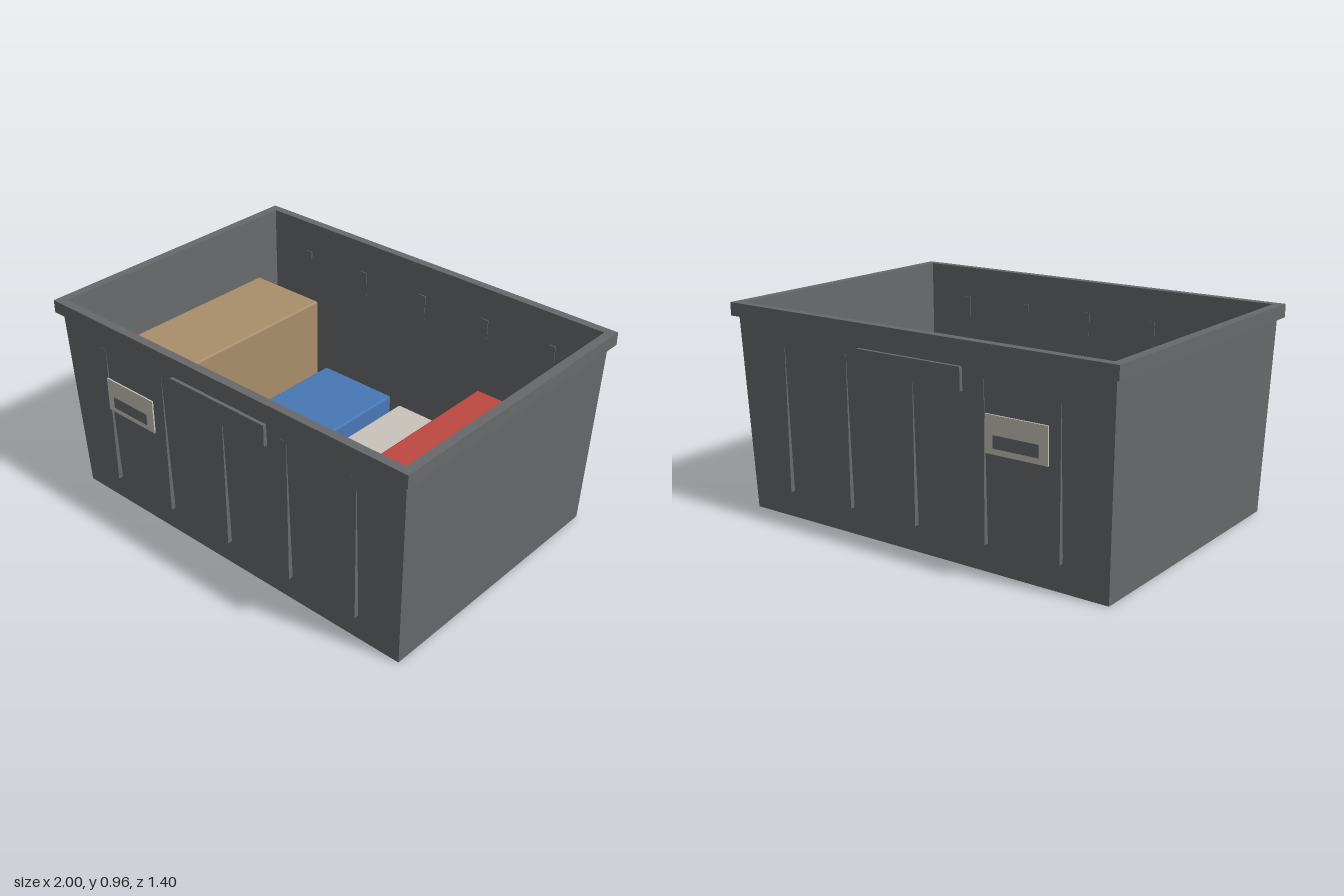
import * as THREE from 'three';
import { RoundedBoxGeometry } from 'three/addons/geometries/RoundedBoxGeometry.js';

const material = (name, color) => {
  const m = new THREE.MeshStandardMaterial({ color });
  m.name = name;
  return m;
};

// Skin a run of rectangular rings, each given as [half width, half depth, height]
function loft(rings) {
  const corners = [[-1, 1], [1, 1], [1, -1], [-1, -1]];
  const point = ([hx, hz, y], i) => [corners[i % 4][0] * hx, y, corners[i % 4][1] * hz];
  const positions = [];
  for (let r = 0; r < rings.length - 1; r++) {
    for (let i = 0; i < 4; i++) {
      const a = point(rings[r], i), b = point(rings[r], i + 1);
      const c = point(rings[r + 1], i + 1), d = point(rings[r + 1], i);
      positions.push(...a, ...b, ...c, ...a, ...c, ...d);
    }
  }
  const geometry = new THREE.BufferGeometry();
  geometry.setAttribute('position', new THREE.Float32BufferAttribute(positions, 3));
  geometry.computeVertexNormals();
  return geometry;
}

export function createModel() {
  const plastic = material('grey plastic', 0x67696c);
  const label = material('off-white', 0xc8c4bb);
  const tan = material('cardboard tan', 0xa98e6b);
  const blue = material('blue', 0x4878b5);
  const red = material('red', 0xbf4842);

  const model = new THREE.Group();
  model.name = 'storageBin';
  const add = (name, geometry, mat, x = 0, y = 0, z = 0) => {
    const mesh = new THREE.Mesh(geometry, mat);
    mesh.name = name;
    mesh.position.set(x, y, z);
    model.add(mesh);
    return mesh;
  };

  // Tapered tub: outer shell, rim and inner shell
  add('outerWall', loft([[0, 0, 0], [0.945, 0.645, 0], [0.975, 0.674, 0.9]]), plastic);
  add('rim', loft([[0.975, 0.674, 0.9], [1, 0.7, 0.9], [1, 0.7, 0.96], [0.957, 0.66, 0.96]]), plastic);
  add('innerWall', loft([[0.957, 0.66, 0.96], [0.925, 0.627, 0.02], [0, 0, 0.02]]), plastic);

  // Ribs, raised panel and label holder on the front and back
  for (const side of [1, -1]) {
    const end = side > 0 ? 'front' : 'back';
    for (let i = -2; i <= 2; i++) {
      add(end + 'Rib', new THREE.BoxGeometry(0.033, 0.685, 0.022), plastic, i * 0.36, 0.4675, side * 0.661);
    }
    add(end + 'Panel', new THREE.BoxGeometry(0.54, 0.1, 0.018), plastic, 0, 0.796, side * 0.679);
    add(end + 'Label', new THREE.BoxGeometry(0.295, 0.16, 0.007), label, -0.543, 0.6, side * 0.687);
    add(end + 'LabelSlot', new THREE.BoxGeometry(0.215, 0.054, 0.005), plastic, -0.543, 0.573, side * 0.692);
  }

  // Boxes stored inside: x range, z range, top height
  const contents = [
    ['tanBox', tan, -0.88, -0.48, -0.452, 0.457, 0.69],
    ['blueBox', blue, -0.443, -0.027, -0.47, 0.457, 0.33],
    ['whiteBox', label, 0.01, 0.44, -0.49, 0.552, 0.287],
    ['redBox', red, 0.482, 0.82, -0.452, 0.606, 0.58],
  ];
  for (const [name, mat, x0, x1, z0, z1, top] of contents) {
    const base = 0.02;
    const geometry = new RoundedBoxGeometry(x1 - x0, top - base, z1 - z0, 2, 0.01);
    add(name, geometry, mat, (x0 + x1) / 2, (top + base) / 2, (z0 + z1) / 2);
  }
  return model;
}
